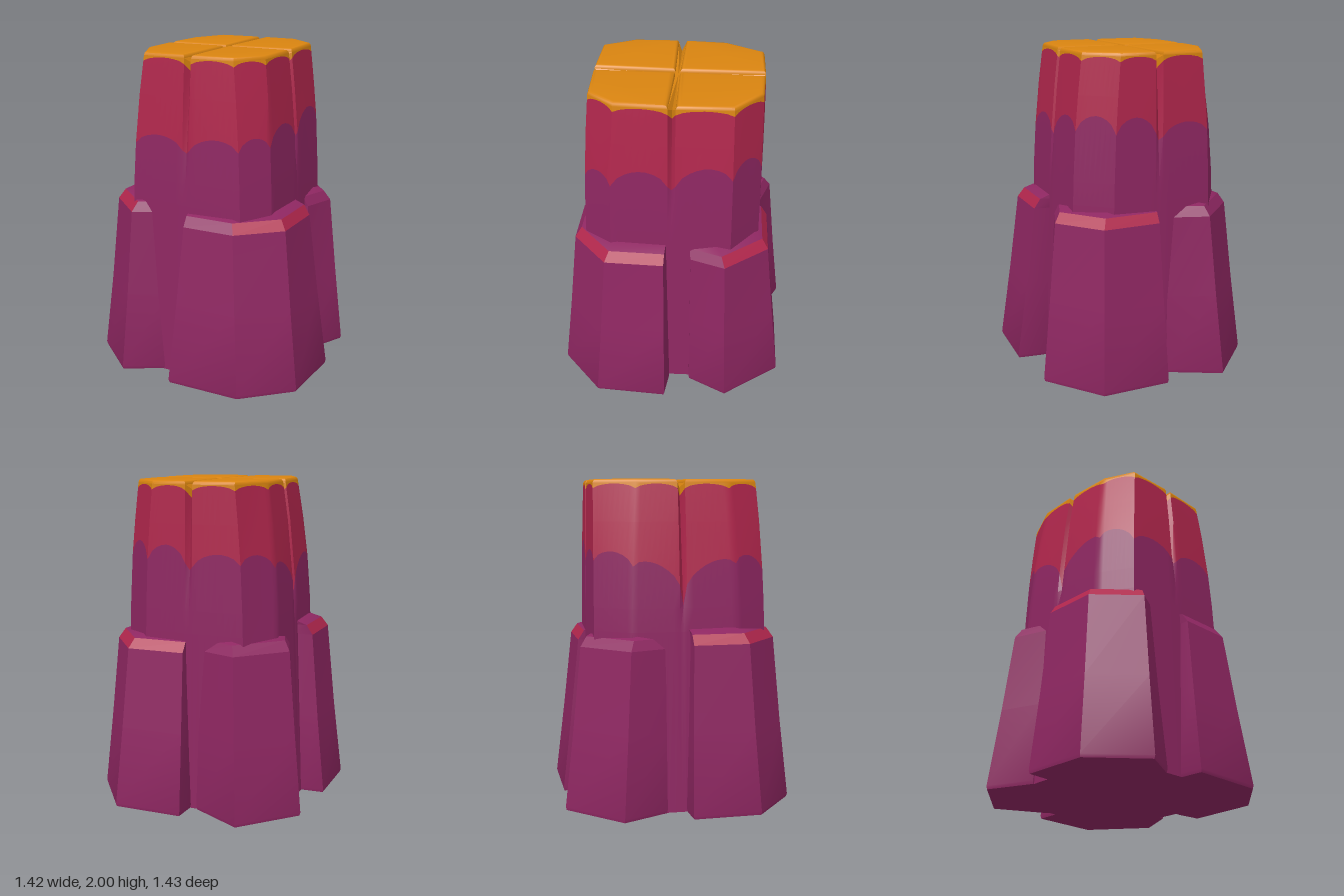
import * as THREE from 'three';
import { toCreasedNormals } from 'three/addons/utils/BufferGeometryUtils.js';

const purple = new THREE.MeshStandardMaterial({ color: 0x8f2762 });
purple.name = 'purple rock';
const crimson = new THREE.MeshStandardMaterial({ color: 0xb0264c });
crimson.name = 'crimson rock';
const orange = new THREE.MeshStandardMaterial({ color: 0xd98410 });
orange.name = 'orange cap';

const lerp = THREE.MathUtils.lerp;
const V = (x, z) => new THREE.Vector2(x, z); // plan position (x, z)
const centre = V(-0.02, -0.01);

// Skin between rings of [x, y, z], running counter-clockwise seen from above.
// segs limits the skin to some sides; bottom and top are optional cap heights.
function loft(name, rings, mat, { segs, bottom, top, crease = 0.6 } = {}) {
  const pos = [], n = rings[0].length;
  for (let r = 0; r < rings.length - 1; r++) {
    for (let i = 0; i < n; i++) {
      if (segs && !segs.includes(i)) continue;
      const j = (i + 1) % n, lo = rings[r], hi = rings[r + 1];
      pos.push(...lo[i], ...lo[j], ...hi[j], ...lo[i], ...hi[j], ...hi[i]);
    }
  }
  const cap = (ring, y, up) => {
    const m = [mean(ring, 0), y, mean(ring, 2)];
    ring.forEach((p, i) => {
      const q = ring[(i + 1) % n];
      pos.push(...m, ...(up ? p : q), ...(up ? q : p));
    });
  };
  if (bottom !== undefined) cap(rings[0], bottom, false);
  if (top !== undefined) cap(rings[rings.length - 1], top, true);
  const geo = new THREE.BufferGeometry();
  geo.setAttribute('position', new THREE.Float32BufferAttribute(pos, 3));
  const mesh = new THREE.Mesh(toCreasedNormals(geo, crease), mat);
  mesh.name = name;
  return mesh;
}
const mean = (ring, k) => ring.reduce((s, p) => s + p[k], 0) / ring.length;
const flat = (pts, y, c, s = 1) => pts.map((p) => [lerp(c.x, p.x, s), y, lerp(c.y, p.y, s)]);

// Column: chamfered corners of the four quadrants at the top and at y = 1.1
const topCorners = [
  [V(0.395, -0.36), V(0.22, -0.52)], [V(-0.3, -0.52), V(-0.41, -0.28)],
  [V(-0.41, 0.28), V(-0.32, 0.475)], [V(0.27, 0.48), V(0.395, 0.32)],
];
const lowCorners = [
  [V(0.465, -0.37), V(0.27, -0.535)], [V(-0.36, -0.53), V(-0.5, -0.32)],
  [V(-0.5, 0.33), V(-0.39, 0.525)], [V(0.34, 0.53), V(0.465, 0.36)],
];
const axes = [V(1, 0), V(0, -1), V(-1, 0), V(0, 1)];
const spread = [[0, 1.6], [1.1, 1], [1.25, 0.93], [1.6, 0.65], [2, 0]];

function spreadAt(y) {
  const i = Math.max(1, spread.findIndex((s) => s[0] >= y));
  const [y0, k0] = spread[i - 1], [y1, k1] = spread[i];
  return lerp(k0, k1, (y - y0) / (y1 - y0));
}

// 20 outline points: groove, lip, corner, corner, lip for every quadrant
function outline(y) {
  const k = spreadAt(y);
  const corner = (q, i) => topCorners[q][i].clone().lerp(lowCorners[q][i], k);
  const onFace = (q, side, depth) => {
    const g = axes[q], t = axes[(q + 1) % 4];
    const r = (g.dot(corner((q + 3) % 4, 1)) + g.dot(corner(q, 0))) / 2 + 0.01 - depth;
    return V(0, 0).addScaledVector(g, r).addScaledVector(t, t.dot(centre) + side * 0.022);
  };
  const fade = THREE.MathUtils.clamp((y - 1.2) / 0.8, 0, 1);
  const pts = [];
  for (let q = 0; q < 4; q++) {
    const depth = q === 2 ? 0.06 * Math.sqrt(fade) : 0.05 * fade;
    pts.push(onFace(q, 0, depth), onFace(q, 1, 0), corner(q, 0), corner(q, 1), onFace((q + 1) % 4, -1, 0));
  }
  return pts;
}

// Ring round the column whose height may vary along each side
function columnRing(heightAt) {
  const ring = [];
  for (let i = 0; i < 20; i++) {
    const steps = i % 5 >= 1 && i % 5 <= 3 ? 8 : 1;
    for (let s = 0; s < steps; s++) {
      const t = s / steps, y = heightAt(i, t), o = outline(y);
      const p = o[i].clone().lerp(o[(i + 1) % 20], t);
      ring.push([p.x, y, p.y]);
    }
  }
  return ring;
}

// Scalloped colour edges that dip at corners and grooves
const dips = [
  1.46, 1.49, 1.54, 1.53, 1.52, 1.48, 1.5, 1.52, 1.49, 1.38,
  1.26, 1.38, 1.5, 1.45, 1.44, 1.42, 1.44, 1.46, 1.47, 1.49,
];
const scallop = (t, h) => h * Math.pow(Math.sin(Math.PI * t), 0.6);
const crimsonEdge = (i, t) => lerp(dips[i], dips[(i + 1) % 20], t) + scallop(t, i < 4 || i > 17 ? 0.1 : 0.07);
const orangeEdge = (i, t) => (i % 5 === 0 ? 1.9 : 1.945) + scallop(t, 0.027);
const rimEdge = (i) => (i % 5 === 0 ? 1.95 : 1.978);

// Buttresses: plan at the ground and at the shoulder, with the crimson sides
const buttresses = [
  { name: 'backRightButtress', h: 0.99, red: [1, 2],
    base: [V(0.55, -0.13), V(0.67, -0.37), V(0.41, -0.71), V(-0.02, -0.7), V(-0.03, -0.5), V(0.1, -0.1)],
    shoulder: [V(0.5, -0.13), V(0.57, -0.34), V(0.36, -0.6), V(0, -0.59), V(0, -0.48), V(0.1, -0.1)] },
  { name: 'backLeftButtress', h: 1, red: [],
    base: [V(-0.07, -0.56), V(-0.39, -0.72), V(-0.69, -0.4), V(-0.57, -0.12), V(-0.3, -0.1), V(-0.1, -0.4)],
    shoulder: [V(-0.09, -0.53), V(-0.33, -0.61), V(-0.585, -0.34), V(-0.51, -0.12), V(-0.3, -0.1), V(-0.1, -0.4)] },
  { name: 'frontLeftButtress', h: 1.03, red: [1, 2],
    base: [V(-0.58, 0), V(-0.71, 0.01), V(-0.71, 0.43), V(-0.41, 0.69), V(-0.13, 0.54), V(-0.1, 0.3), V(-0.4, 0)],
    shoulder: [V(-0.5, 0.03), V(-0.61, 0.03), V(-0.61, 0.37), V(-0.37, 0.59), V(-0.2, 0.5), V(-0.1, 0.3), V(-0.4, 0)] },
  { name: 'frontRightButtress', h: 0.99, red: [2, 3],
    base: [V(-0.07, 0.5), V(-0.06, 0.71), V(0.41, 0.71), V(0.69, 0.46), V(0.71, 0.02), V(0.55, 0), V(0.1, 0.1)],
    shoulder: [V(0, 0.5), V(0, 0.6), V(0.33, 0.605), V(0.57, 0.39), V(0.575, 0.03), V(0.48, 0.02), V(0.1, 0.1)] },
];

function buildButtress({ name, h, red, base, shoulder }) {
  const group = new THREE.Group();
  group.name = name;
  const mid = base.reduce((s, p) => s.add(p), V(0, 0)).divideScalar(base.length);
  const between = base.map((p, i) => p.clone().lerp(shoulder[i], 0.52));
  const edge = flat(shoulder, h, centre);
  const bevel = flat(shoulder, h + 0.06, centre, 0.935);
  const plain = base.map((_, i) => i).filter((i) => !red.includes(i));
  group.add(
    loft('buttressBody', [flat(base, 0, mid, 0.985), flat(base, 0.02, mid), flat(between, 0.5, mid), edge], purple, { bottom: 0 }),
    loft('buttressShoulder', [edge, bevel], purple, { segs: plain }),
    loft('buttressTop', [bevel, flat(shoulder, h + 0.09, centre, 0.8)], purple, { top: h + 0.09 }),
  );
  if (red.length) group.add(loft('buttressCrimsonEdge', [edge, bevel], crimson, { segs: red }));
  return group;
}

// Rounded pads filling the four quadrants of the cap
function buildPad(q) {
  const o = outline(1.978), g = axes[q], t = axes[(q + 1) % 4];
  const pts = [1, 2, 3, 4].map((i) => o[q * 5 + i]);
  pts.push(centre.clone().addScaledVector(g, 0.014).addScaledVector(t, 0.014));
  const mid = pts.reduce((s, p) => s.add(p), V(0, 0)).divideScalar(pts.length);
  const rings = [[1.95, 1], [1.978, 1], [1.992, 0.975], [1.998, 0.94], [2, 0.88]].map(([y, s]) => flat(pts, y, mid, s));
  return loft('capPad', rings, orange, { top: 2, crease: 0.75 });
}

export function createModel() {
  const model = new THREE.Group();
  model.name = 'rockPillar';

  const low = columnRing(crimsonEdge), high = columnRing(orangeEdge);
  const level = (y) => columnRing(() => y);
  model.add(
    loft('columnLower', [level(0), level(1.1), level(1.24), low], purple, { bottom: 0 }),
    loft('columnUpper', [low, level(1.75), high], crimson),
    loft('columnRim', [high, columnRing(rimEdge)], orange, { top: 1.97 }),
  );
  for (let q = 0; q < 4; q++) model.add(buildPad(q));
  buttresses.forEach((b) => model.add(buildButtress(b)));
  return model;
}
